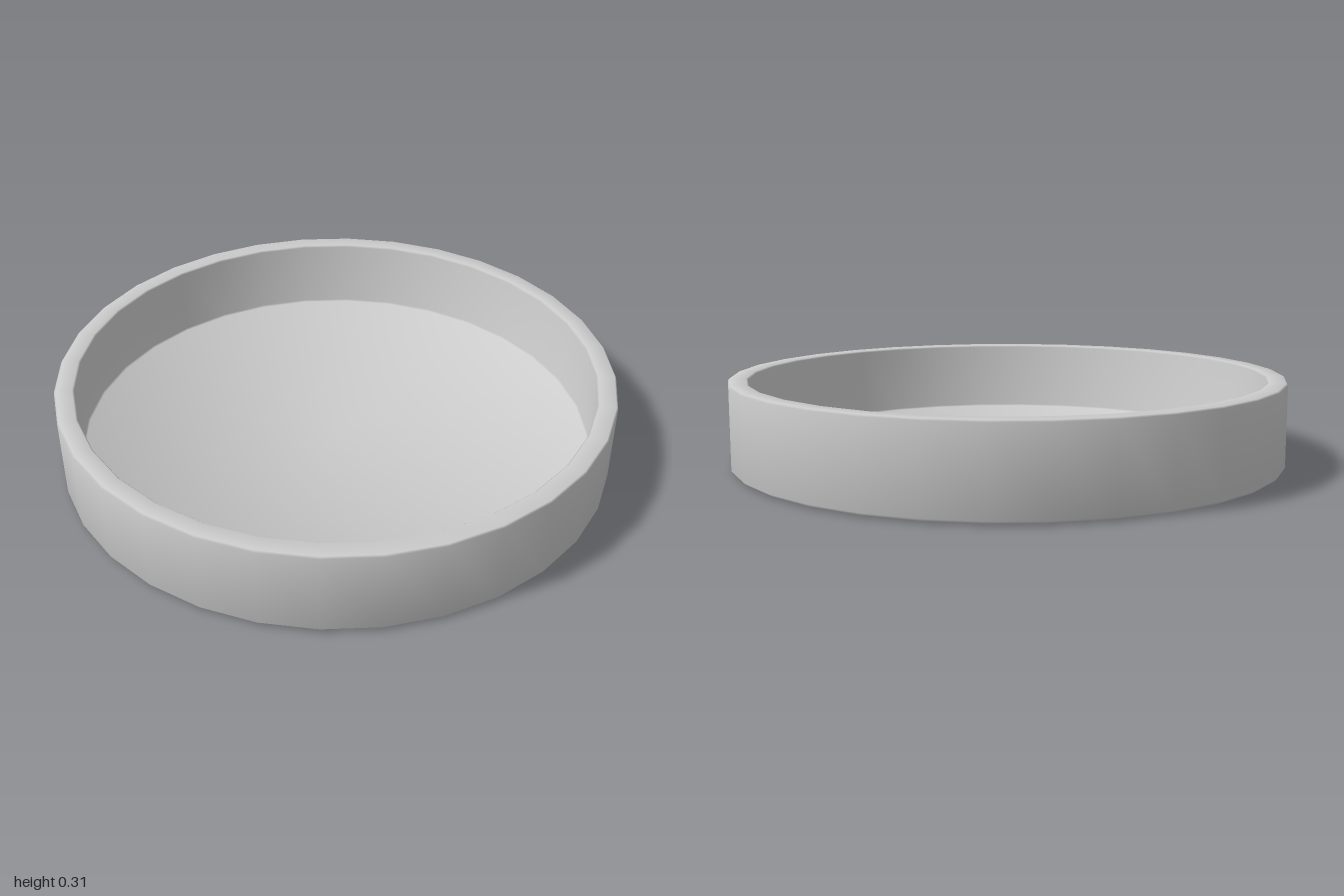
import * as THREE from 'three';

export function createModel() {
  const group = new THREE.Group();
  group.name = 'roundTray';

  // Closed cross-section: radius, height, angle of the smooth normal in degrees
  const profile = [
    [0, 0, -90],         // flat underside
    [0.955, 0, -89],
    [0.988, 0.003, -62], // softened lower edge
    [1, 0.014, -10],     // outer wall
    [1, 0.304, 10],
    [0.994, 0.31, 74],   // rim
    [0.936, 0.31, 104],
    [0.93, 0.304, 170],  // inner wall
    [0.93, 0.05, 167],
    [0.924, 0.044, 117], // floor edge
    [0, 0.044, 90],      // floor centre
  ];
  const segments = 32;
  const geometry = new THREE.LatheGeometry(
    profile.map(([r, y]) => new THREE.Vector2(r, y)), segments);

  // Soft normals that round over the small bevels and the broad floor
  const normal = geometry.attributes.normal;
  for (let i = 0; i <= segments; i++) {
    const phi = (i / segments) * Math.PI * 2;
    profile.forEach(([, , degrees], j) => {
      const a = THREE.MathUtils.degToRad(degrees);
      normal.setXYZ(i * profile.length + j,
        Math.cos(a) * Math.sin(phi), Math.sin(a), Math.cos(a) * Math.cos(phi));
    });
  }

  const tray = new THREE.Mesh(geometry, new THREE.MeshStandardMaterial({ color: 0xcccccc }));
  tray.name = 'tray';
  group.add(tray);
  return group;
}
